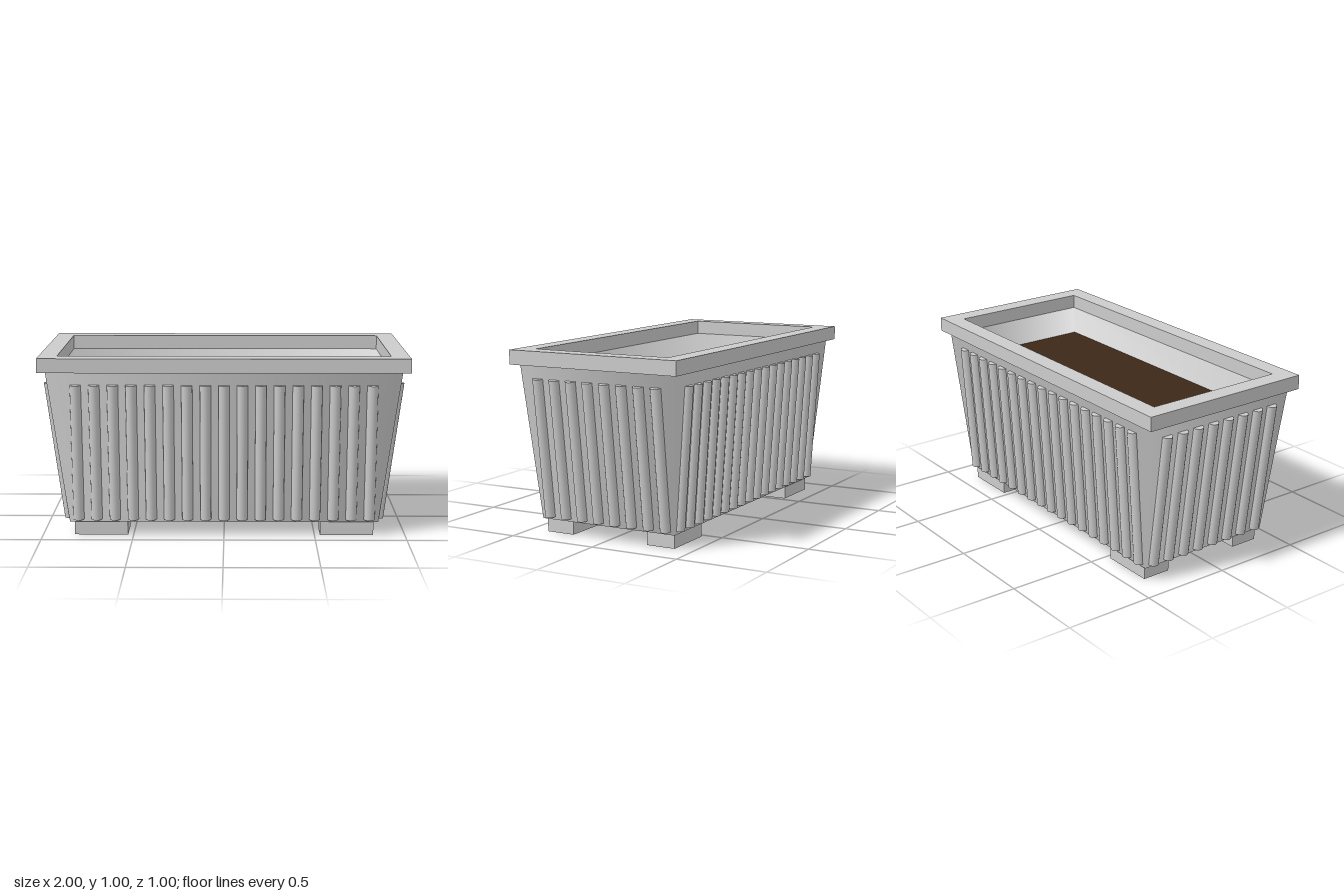
import * as THREE from 'three';

const BASE_Y = 0.077, RIM_Y = 0.922, TOP_Y = 1, SOIL_Y = 0.767;
const BOTTOM = { x: 0.85, z: 0.405 }, TOP = { x: 0.96, z: 0.46 };
const WALL = 0.06;

// half width of the tapered body at height y
const halfAt = (axis, y) =>
  THREE.MathUtils.mapLinear(y, BASE_Y, RIM_Y, BOTTOM[axis], TOP[axis]);

// four-sided tapered shell with normals blended around its corners
function taperedShell(y0, y1, inset) {
  const geo = new THREE.CylinderGeometry(1, 0.9, y1 - y0, 4, 1, true, Math.PI / 4);
  geo.translate(0, (y0 + y1) / 2, 0);
  const p = geo.attributes.position;
  for (let i = 0; i < p.count; i++) {
    const y = p.getY(i);
    p.setX(i, Math.sign(p.getX(i)) * (halfAt('x', y) - inset));
    p.setZ(i, Math.sign(p.getZ(i)) * (halfAt('z', y) - inset));
  }
  return geo;
}

// horizontal rectangle facing up, or down when flipped
function panel(hx, hz, y, flip = false) {
  return new THREE.PlaneGeometry(2 * hx, 2 * hz)
    .rotateX(flip ? Math.PI / 2 : -Math.PI / 2)
    .translate(0, y, 0);
}

function rectangle(path, hx, hz) {
  path.moveTo(-hx, -hz).lineTo(hx, -hz).lineTo(hx, hz).lineTo(-hx, hz).closePath();
  return path;
}

export function createModel() {
  const planter = new THREE.Group();
  planter.name = 'planter';
  const grey = new THREE.MeshStandardMaterial({ color: 0xcccccc });
  const greyInside = new THREE.MeshStandardMaterial({ color: 0xcccccc, side: THREE.DoubleSide });
  const soilMat = new THREE.MeshStandardMaterial({ color: 0x3d2817 });

  const add = (name, geo, mat = grey, parent = planter) => {
    const mesh = new THREE.Mesh(geo, mat);
    mesh.name = name;
    parent.add(mesh);
    return mesh;
  };

  // tapered tub
  add('outerWall', taperedShell(BASE_Y, RIM_Y, 0));
  add('innerWall', taperedShell(SOIL_Y, RIM_Y, WALL), greyInside);
  add('base', panel(BOTTOM.x, BOTTOM.z, BASE_Y, true));
  add('soil', panel(halfAt('x', SOIL_Y) - WALL, halfAt('z', SOIL_Y) - WALL, SOIL_Y), soilMat);

  // square-edged rim frame
  const frame = rectangle(new THREE.Shape(), 1, 0.5);
  frame.holes.push(rectangle(new THREE.Path(), 0.9, 0.4));
  const rimGeo = new THREE.ExtrudeGeometry(frame, { depth: TOP_Y - RIM_Y, bevelEnabled: false });
  add('rim', rimGeo.rotateX(-Math.PI / 2).translate(0, RIM_Y, 0));

  // half-sunk ribs that lean with each wall
  const ribLow = 0.093, ribHigh = 0.85, ribMid = (ribLow + ribHigh) / 2;
  const sides = [
    { name: 'frontRibs', axis: 'z', turn: 0, count: 17, reach: 0.8 },
    { name: 'leftRibs', axis: 'x', turn: Math.PI / 2, count: 8, reach: 0.355 },
    { name: 'backRibs', axis: 'z', turn: Math.PI, count: 17, reach: 0.8 },
    { name: 'rightRibs', axis: 'x', turn: -Math.PI / 2, count: 8, reach: 0.355 },
  ];
  for (const { name, axis, turn, count, reach } of sides) {
    const side = new THREE.Group();
    side.name = name;
    side.rotation.y = turn;
    const run = halfAt(axis, ribHigh) - halfAt(axis, ribLow);
    const rise = ribHigh - ribLow;
    const ribGeo = new THREE.CylinderGeometry(0.03, 0.03, Math.hypot(run, rise), 16)
      .rotateX(Math.atan2(run, rise));
    for (let i = 0; i < count; i++) {
      const rib = add('rib', ribGeo, grey, side);
      rib.position.set(-reach + (2 * reach * i) / (count - 1), ribMid, halfAt(axis, ribMid));
    }
    planter.add(side);
  }

  // four block feet
  const footGeo = new THREE.BoxGeometry(0.295, BASE_Y, 0.163);
  for (const sx of [-1, 1]) {
    for (const sz of [-1, 1]) {
      add('foot', footGeo).position.set(sx * 0.678, BASE_Y / 2, sz * 0.31);
    }
  }

  return planter;
}
